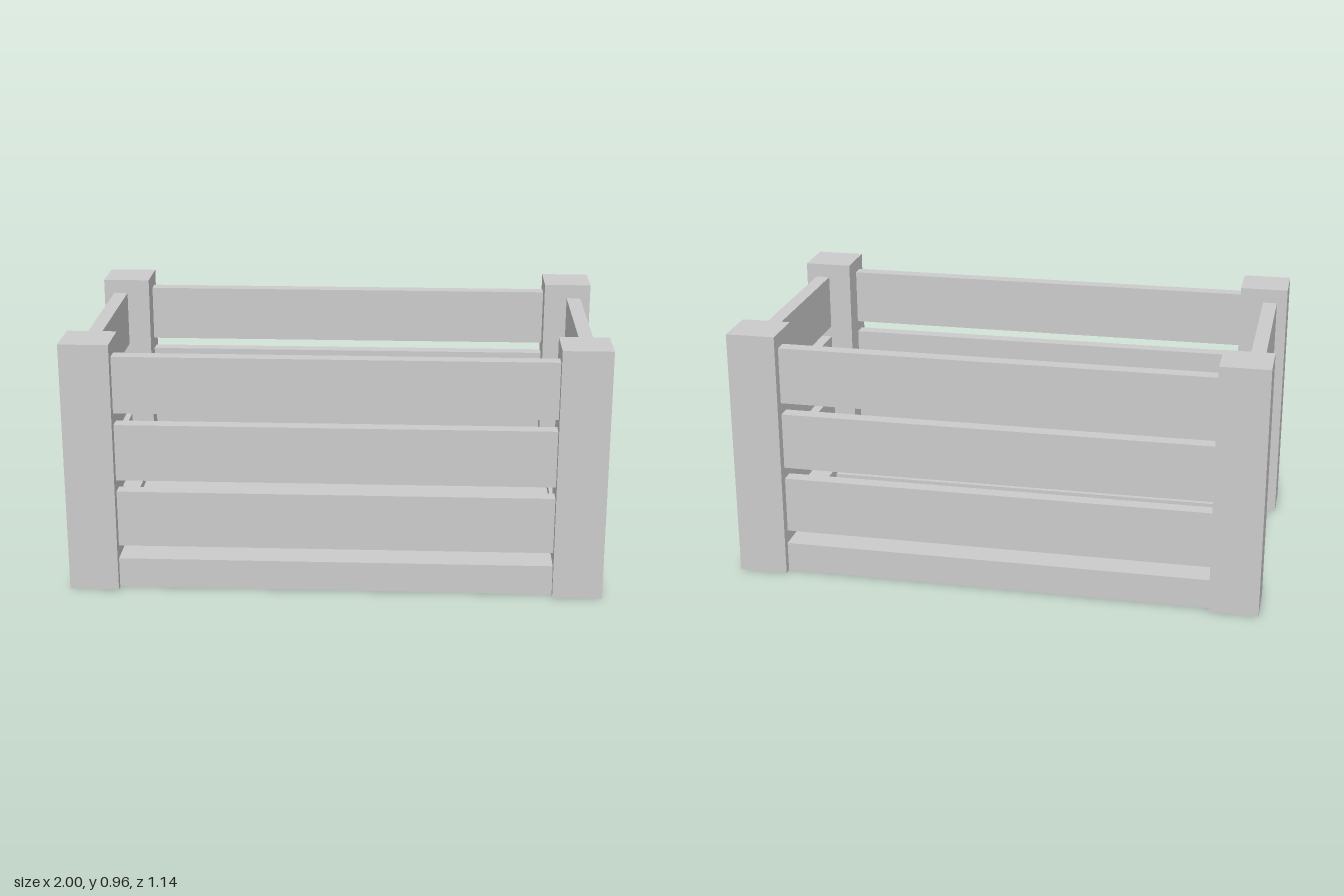
import * as THREE from 'three';

export function createModel() {
  const crate = new THREE.Group();
  crate.name = 'slattedCrate';
  const material = new THREE.MeshStandardMaterial({ color: 0xcccccc, flatShading: true });

  // Box given by its lower and upper limits on each axis
  function board(name, x0, x1, y0, y1, z0, z1) {
    const mesh = new THREE.Mesh(new THREE.BoxGeometry(x1 - x0, y1 - y0, z1 - z0), material);
    mesh.position.set((x0 + x1) / 2, (y0 + y1) / 2, (z0 + z1) / 2);
    mesh.name = name;
    crate.add(mesh);
  }

  // The same board on both sides of an axis
  function boardPairX(name, x0, x1, y0, y1, z) {
    board(name + 'Left', x0, x1, y0, y1, -z, z);
    board(name + 'Right', -x1, -x0, y0, y1, -z, z);
  }
  function boardPairZ(name, x, y0, y1, z0, z1) {
    board(name + 'Front', -x, x, y0, y1, z0, z1);
    board(name + 'Back', -x, x, y0, y1, -z1, -z0);
  }

  const postX = 0.815, postZ = 0.388, endZ = 0.572, height = 0.96;

  // Corner posts
  for (const [x0, x1, side] of [[postX, 1, 'Left'], [-1, -postX, 'Right']]) {
    board('cornerPostFront' + side, x0, x1, 0, height, postZ, endZ);
    board('cornerPostBack' + side, x0, x1, 0, height, -endZ, -postZ);
  }

  // Thick base rails between the posts
  boardPairX('baseRail', 0.853, 0.96, 0, 0.115, postZ);
  boardPairZ('baseRail', postX, 0, 0.115, 0.42, 0.543);

  // Three rows of wall slats
  for (let row = 0; row < 3; row++) {
    const y = 0.164 + row * 0.262;
    boardPairX('endSlat' + (row + 1), 0.905, 0.96, y, y + 0.217, postZ);
    boardPairZ('sideSlat' + (row + 1), postX, y, y + 0.217, 0.48, 0.534);
  }

  // Floor slats, raised a little above the ground
  for (let i = 0; i < 4; i++) {
    const z = (i - 1.5) * 0.198;
    board('floorSlat' + (i + 1), -0.853, 0.853, 0.03, 0.085, z - 0.082, z + 0.082);
  }

  return crate;
}
